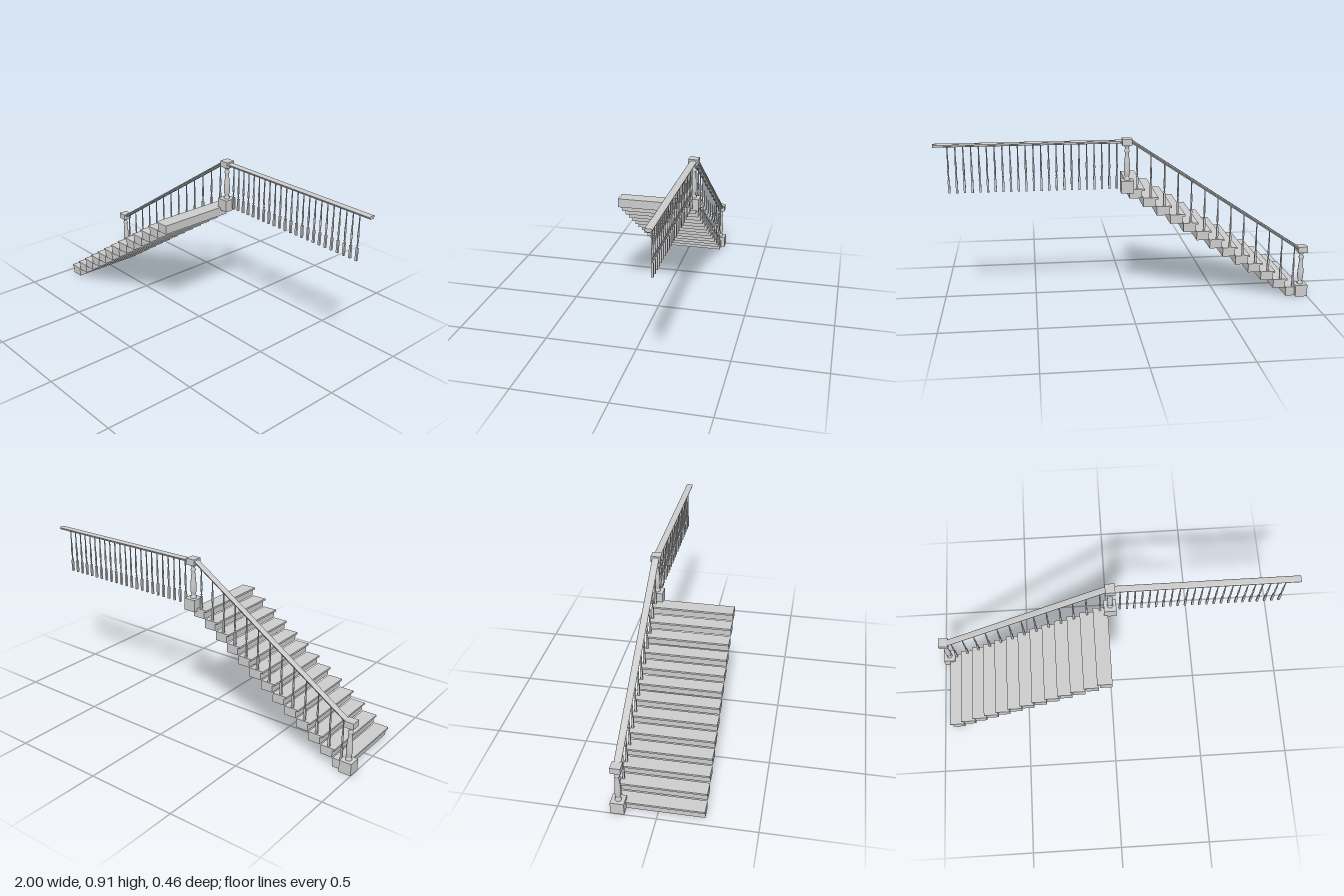
import * as THREE from 'three';

const mat = new THREE.MeshStandardMaterial({ color: 0xcccccc, side: THREE.DoubleSide });
const STEPS = 13, RUN = 0.0733, RISE = 0.0491;
const START = -0.965, FRONT = 0.233, BACK = -0.208, RAIL_Z = -0.196;

function add(parent, name, geometry, x = 0, y = 0, z = 0) {
  const mesh = new THREE.Mesh(geometry, mat);
  mesh.name = name;
  mesh.position.set(x, y, z);
  parent.add(mesh);
  return mesh;
}

function lathe(points, sides) {
  return new THREE.LatheGeometry(points.map(([r, y]) => new THREE.Vector2(r, y)), sides);
}

// Square base, turned shaft and square cap
function newelPost(name, x, y) {
  const post = new THREE.Group();
  post.name = name;
  add(post, 'newelBase', new THREE.BoxGeometry(0.067, 0.066, 0.07), 0, 0.033);
  add(post, 'newelShaft', lathe([
    [0.016, 0.065], [0.016, 0.074], [0.011, 0.079], [0.011, 0.085], [0.014, 0.092],
    [0.0165, 0.11], [0.0165, 0.13], [0.0145, 0.16], [0.0115, 0.19], [0.0095, 0.212],
    [0.014, 0.217], [0.014, 0.224], [0.01, 0.229], [0.01, 0.238], [0.016, 0.245], [0.016, 0.255],
  ], 16), 0, 0);
  add(post, 'newelCap', new THREE.BoxGeometry(0.053, 0.034, 0.053), 0, 0.269);
  post.position.set(x, y, RAIL_Z);
  return post;
}

// Square foot with a slim turned spindle
const footGeometry = new THREE.BoxGeometry(0.011, 0.068, 0.011);
const spindleGeometry = lathe([
  [0.0055, 0.066], [0.003, 0.074], [0.005, 0.08], [0.003, 0.086], [0.0045, 0.1],
  [0.0055, 0.12], [0.0045, 0.15], [0.003, 0.19], [0.003, 0.242],
], 8);
function baluster(name, x, y) {
  const group = new THREE.Group();
  group.name = name;
  add(group, 'balusterFoot', footGeometry, 0, 0.034);
  add(group, 'balusterSpindle', spindleGeometry);
  group.position.set(x, y, RAIL_Z);
  return group;
}

// Moulded handrail section swept between two points in the XY plane
function handrail(name, x0, y0, x1, y1) {
  const half = [[0.011, -0.008], [0.013, -0.002], [0.0185, 0], [0.0185, 0.004], [0.012, 0.008]];
  const outline = [...half, ...half.map(([a, b]) => [-a, b]).reverse()];
  const shape = new THREE.Shape(outline.map(([a, b]) => new THREE.Vector2(a, b)));
  const length = Math.hypot(x1 - x0, y1 - y0);
  const geometry = new THREE.ExtrudeGeometry(shape, { depth: length, bevelEnabled: false });
  geometry.rotateY(Math.PI / 2);
  geometry.rotateZ(Math.atan2(y1 - y0, x1 - x0));
  const mesh = new THREE.Mesh(geometry, mat);
  mesh.name = name;
  mesh.position.set(x0, y0, RAIL_Z);
  return mesh;
}

export function createModel() {
  const model = new THREE.Group();
  model.name = 'staircase';

  // Steps: solid block with a thin overhanging tread
  const depth = FRONT - BACK, midZ = (FRONT + BACK) / 2;
  const lip = 0.01, nosing = 0.014;
  const treadGeometry = new THREE.BoxGeometry(RUN + nosing - 0.006, lip, depth);
  const blockGeometry = new THREE.BoxGeometry(RUN - 0.006, RISE - lip, depth);
  for (let i = 0; i < STEPS; i++) {
    const nose = START + i * RUN, top = (i + 1) * RISE;
    const step = new THREE.Group();
    step.name = 'step' + (i + 1);
    add(step, 'tread', treadGeometry, nose + (RUN + nosing - 0.006) / 2, top - lip / 2, midZ);
    add(step, 'stepBlock', blockGeometry, nose + nosing + (RUN - 0.006) / 2, top - lip - (RISE - lip) / 2, midZ);
    model.add(step);
    // One baluster on every tread
    model.add(baluster('stairBaluster' + (i + 1), nose + 0.04, top));
  }

  // Landing balusters
  for (let i = 0; i < 23; i++) {
    model.add(baluster('landingBaluster' + (i + 1), 0.062 + i * 0.0394, 0.643));
  }

  // Newel posts and handrails
  model.add(newelPost('bottomNewel', -0.9665, 0));
  model.add(newelPost('topNewel', 0.0085, 0.623));
  model.add(handrail('stairHandrail', -0.965, 0.262, -0.005, 0.9));
  model.add(handrail('landingHandrail', 0.01, 0.893, 1, 0.893));

  return model;
}
